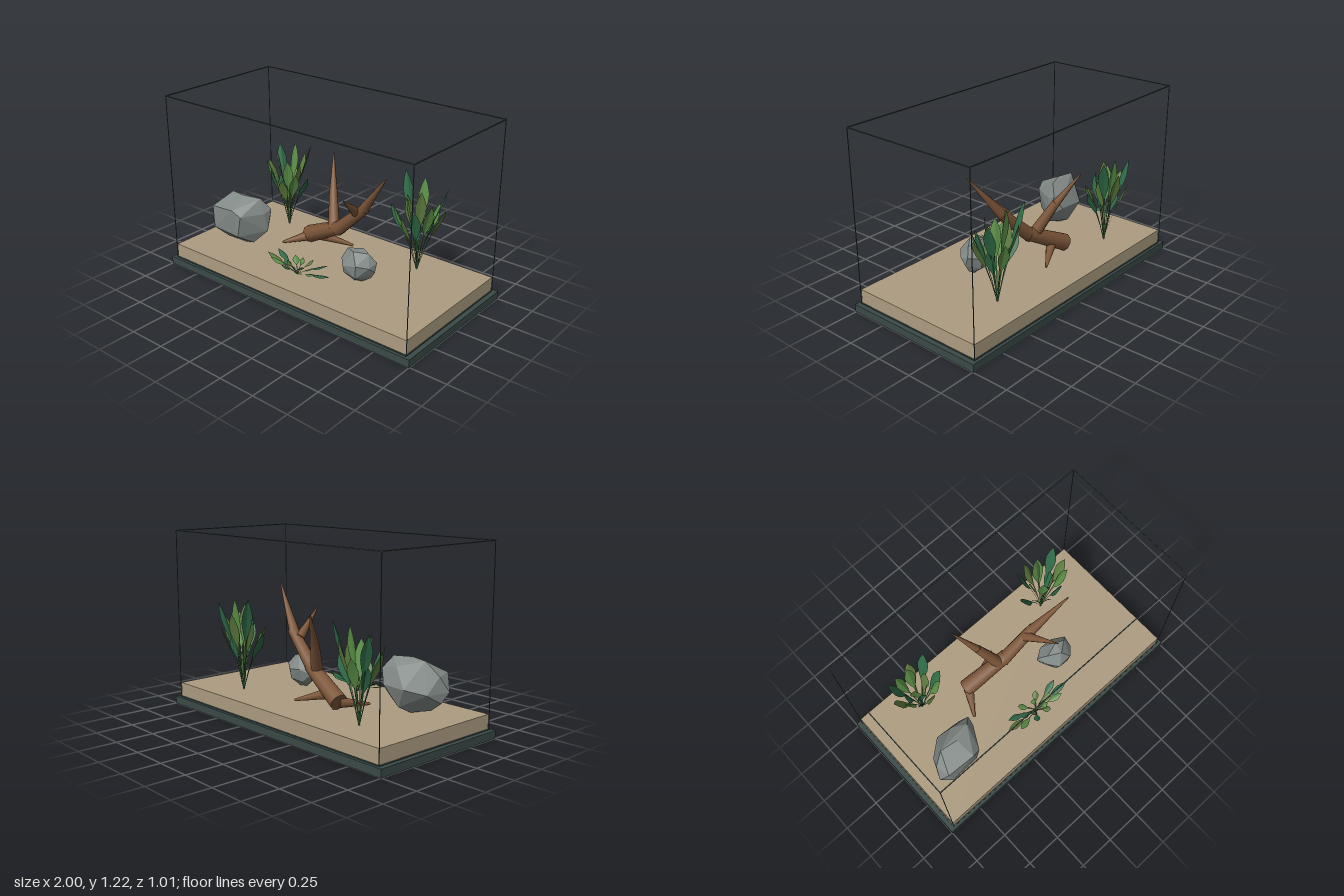
import * as THREE from 'three';
import { mergeGeometries } from 'three/addons/utils/BufferGeometryUtils.js';
import { ConvexGeometry } from 'three/addons/geometries/ConvexGeometry.js';

const V = (x, y, z) => new THREE.Vector3(x, y, z);

function material(name, color, options = {}) {
  const m = new THREE.MeshStandardMaterial({ color, ...options });
  m.name = name;
  return m;
}

function addMesh(parent, name, geometry, mat) {
  const mesh = new THREE.Mesh(geometry, mat);
  mesh.name = name;
  parent.add(mesh);
  return mesh;
}

function addBox(parent, name, size, position, mat) {
  addMesh(parent, name, new THREE.BoxGeometry(...size), mat).position.set(...position);
}

// Tapered limb between two points
function limb(a, b, r0, r1) {
  const dir = b.clone().sub(a);
  const g = new THREE.CylinderGeometry(r1, r0, dir.length(), 10);
  g.applyQuaternion(new THREE.Quaternion().setFromUnitVectors(V(0, 1, 0), dir.normalize()));
  const mid = a.clone().add(b).multiplyScalar(0.5);
  return g.translate(mid.x, mid.y, mid.z);
}

// Leaf cross-sections: [distance along the stalk, share of full half width]
const LEAF = [[0, 0.1], [0.28, 0.1], [0.52, 0.14], [0.62, 0.6], [0.72, 0.95], [0.81, 1], [0.91, 0.6], [1, 0.02]];

// Folded blade on a thin stalk, arching from the origin to the tip
function leaf(tip, angle, halfWidth) {
  const bend = V(tip.x * 0.38, tip.y * 0.56, tip.z * 0.38);
  const curve = new THREE.QuadraticBezierCurve3(V(0, 0, 0), bend, tip);
  const side = V(-Math.sin(angle), 0, Math.cos(angle));
  const pos = [], index = [];
  LEAF.forEach(([t, w], i) => {
    const p = curve.getPoint(t);
    const lift = new THREE.Vector3().crossVectors(side, curve.getTangent(t)).normalize();
    for (const s of [-1, 0, 1]) {
      const q = p.clone().addScaledVector(side, s * w * halfWidth);
      q.addScaledVector(lift, -Math.abs(s) * w * halfWidth * 0.25);
      pos.push(q.x, q.y, q.z);
    }
    if (i) {
      for (const k of [0, 1]) {
        const a = (i - 1) * 3 + k, b = a + 1, c = a + 3, d = a + 4;
        index.push(a, b, d, a, d, c);
      }
    }
  });
  const g = new THREE.BufferGeometry();
  g.setAttribute('position', new THREE.Float32BufferAttribute(pos, 3));
  g.setIndex(index);
  const flat = g.toNonIndexed();
  flat.computeVertexNormals();
  return flat;
}

// Leaves of one plant: [angle in degrees, spread 0..1, height 0..1]
const TALL = [
  [5, 1, 0.65], [38, 0.9, 0.7], [75, 0.9, 0.62], [105, 0.95, 0.72], [140, 0.9, 0.8], [178, 0.95, 0.75],
  [215, 0.95, 0.92], [250, 1, 0.7], [285, 0.95, 0.85], [325, 0.95, 1],
  [60, 0.5, 0.82], [120, 0.45, 0.9], [200, 0.5, 0.6], [275, 0.5, 0.98], [350, 0.5, 0.78], [95, 0.3, 0.58],
];

function plant(name, base, spread, height, halfWidth, mirror, mats) {
  const group = new THREE.Group();
  group.name = name;
  const sets = mats.map(() => []);
  TALL.forEach(([deg, r, h], i) => {
    const a = THREE.MathUtils.degToRad(deg);
    const tip = V(mirror * Math.cos(a) * r * spread[0], h * height, Math.sin(a) * r * spread[1]);
    sets[i % mats.length].push(leaf(tip, Math.atan2(tip.z, tip.x), halfWidth));
  });
  sets.forEach((set, i) => addMesh(group, 'leaves' + (i + 1), mergeGeometries(set), mats[i]));
  group.position.set(...base);
  return group;
}

const BIG_ROCK = [
  [-0.85, 0.31, 0.24], [-0.82, 0.41, 0.18], [-0.74, 0.5, 0.14], [-0.62, 0.505, 0.16], [-0.5, 0.5, 0.12],
  [-0.45, 0.42, 0.07], [-0.45, 0.27, 0.11], [-0.46, 0.4, 0.13], [-0.53, 0.18, 0.17], [-0.62, 0.153, 0.15],
  [-0.74, 0.18, 0.2], [-0.82, 0.24, 0.2], [-0.8, 0.42, 0.28], [-0.6, 0.44, 0.295], [-0.54, 0.4, 0.28],
  [-0.57, 0.25, 0.28], [-0.78, 0.27, 0.29], [-0.68, 0.33, 0.015], [-0.5, 0.33, 0.03], [-0.6, 0.2, 0.06],
  [-0.79, 0.3, 0.1], [-0.58, 0.45, 0.06],
];
const SMALL_ROCK = [
  [0.19, 0.26, 0.05], [0.2, 0.31, 0.06], [0.24, 0.36, 0.1], [0.32, 0.375, 0.15], [0.34, 0.375, 0.07],
  [0.4, 0.36, 0.09], [0.44, 0.3, 0.06], [0.44, 0.24, 0.08], [0.41, 0.19, 0.08], [0.35, 0.153, 0.09],
  [0.3, 0.153, 0.11], [0.22, 0.2, 0.08], [0.27, 0.28, 0.193], [0.37, 0.3, 0.19], [0.36, 0.21, 0.18],
  [0.26, 0.22, 0.17], [0.43, 0.28, 0.13], [0.26, 0.29, 0.005], [0.36, 0.28, 0.005], [0.36, 0.21, 0.02],
  [0.26, 0.2, 0.03], [0.22, 0.3, 0.14],
];

export function createModel() {
  const model = new THREE.Group();
  model.name = 'aquascapeTank';
  const trim = material('darkTrim', 0x3a4a47);
  const sand = material('sand', 0xad9c80);
  const stone = material('stone', 0x828a87, { flatShading: true });
  const wood = material('driftwood', 0x7d5639);
  const leafMats = [
    material('deepGreen', 0x2f6b47, { side: THREE.DoubleSide }),
    material('leafGreen', 0x5c9048, { side: THREE.DoubleSide }),
    material('oliveGreen', 0x5f7c40, { side: THREE.DoubleSide }),
  ];

  // Plinth and sand bed
  addBox(model, 'base', [2, 0.052, 1.01], [0, 0.026, 0], trim);
  addBox(model, 'sandBed', [1.925, 0.1, 0.96], [0, 0.102, 0], sand);

  // Thin edges of the open tank
  const frame = new THREE.Group();
  frame.name = 'tankFrame';
  model.add(frame);
  const X = 0.965, Z = 0.483, top = 1.214, low = 0.055;
  for (const y of [low, top]) {
    for (const s of [-1, 1]) {
      addBox(frame, 'longEdge', [2 * X + 0.006, 0.006, 0.006], [0, y, s * Z], trim);
      addBox(frame, 'shortEdge', [0.006, 0.006, 2 * Z], [s * X, y, 0], trim);
    }
  }
  for (const sx of [-1, 1]) for (const sz of [-1, 1]) {
    addBox(frame, 'cornerEdge', [0.004, top - low, 0.004], [sx * X, (top + low) / 2, sz * Z], trim);
  }

  // Rocks
  addMesh(model, 'largeRock', new ConvexGeometry(BIG_ROCK.map((p) => V(...p))), stone);
  addMesh(model, 'smallRock', new ConvexGeometry(SMALL_ROCK.map((p) => V(...p))), stone);

  // Driftwood: trunk, branches and roots
  const driftwood = new THREE.Group();
  driftwood.name = 'driftwood';
  model.add(driftwood);
  const limbs = {
    trunkLower: [V(-0.29, 0.205, -0.145), V(0.03, 0.37, -0.09), 0.06, 0.047],
    trunkMiddle: [V(0, 0.345, -0.09), V(0.25, 0.575, -0.058), 0.047, 0.035],
    trunkTip: [V(0.225, 0.55, -0.06), V(0.465, 0.86, 0.02), 0.036, 0.004],
    backBranch: [V(-0.03, 0.34, -0.09), V(-0.125, 0.57, -0.2), 0.042, 0.027],
    backBranchTip: [V(-0.12, 0.555, -0.195), V(-0.22, 0.77, -0.32), 0.027, 0.004],
    frontBranch: [V(0.18, 0.53, -0.06), V(0.25, 0.705, 0.165), 0.034, 0.003],
    frontRoot: [V(-0.28, 0.2, -0.13), V(-0.38, 0.18, 0.038), 0.036, 0.008],
    backRoot: [V(-0.17, 0.235, -0.13), V(0.02, 0.175, -0.24), 0.036, 0.008],
  };
  for (const [name, args] of Object.entries(limbs)) addMesh(driftwood, name, limb(...args), wood);

  // Plants
  model.add(plant('leftTallPlant', [0.525, 0.15, -0.265], [0.21, 0.14], 0.64, 0.036, -1, leafMats));
  model.add(plant('rightTallPlant', [-0.59, 0.15, -0.265], [0.19, 0.14], 0.62, 0.036, 1, leafMats));
  model.add(plant('lowPlant', [-0.03, 0.15, 0.28], [0.27, 0.09], 0.11, 0.022, 1, leafMats));
  return model;
}
